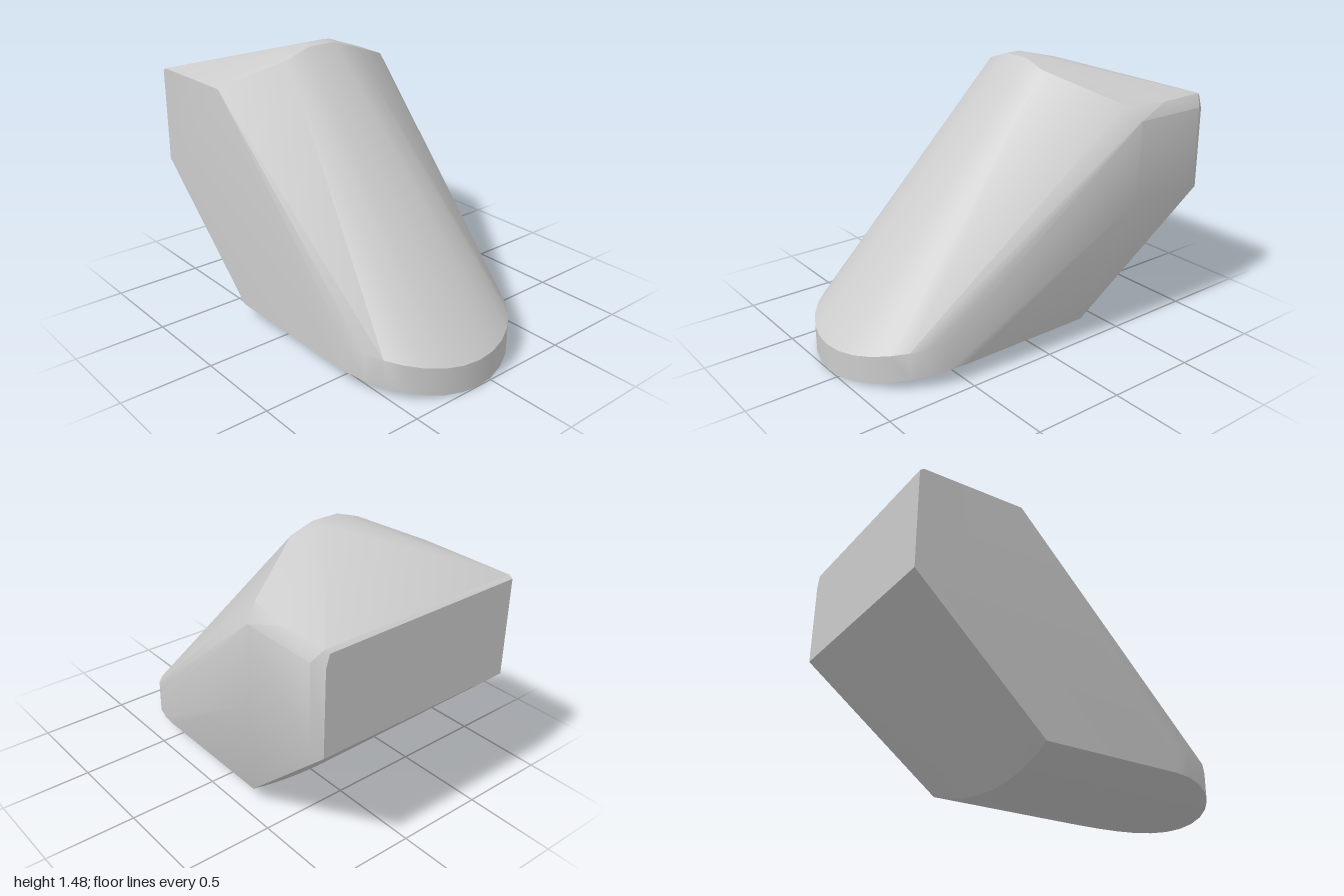
import * as THREE from 'three';
import { ConvexGeometry } from 'three/addons/geometries/ConvexGeometry.js';
import { toCreasedNormals } from 'three/addons/utils/BufferGeometryUtils.js';

const CENTRE = -0.085, HALF = 0.515; // middle and half width of the foot
const sole = (x) => 0.09 * ((x - CENTRE) / HALF) ** 2; // shallow curved underside

export function createModel() {
  const points = [];
  const add = (x, y, z) => points.push(new THREE.Vector3(x, y, z));

  // rounded nose: a half ellipse with a short upright rim
  const steps = 16;
  for (let i = 0; i <= steps; i++) {
    const t = (i / steps) * Math.PI;
    const x = CENTRE + HALF * Math.cos(t), z = 0.5 + 0.5 * Math.sin(t);
    add(x, sole(x), z);
    add(x, sole(x) + 0.15, z);
  }

  // rear edge of the curved underside
  for (let i = 0; i <= 12; i++) {
    const x = CENTRE + HALF * (i / 6 - 1);
    add(x, sole(x), -0.25 - 0.4 * sole(x));
  }

  // crown: front and rear edges of the narrow top
  for (const [x, y] of [[-0.3, 1.435], [-0.16, 1.483], [0, 1.483], [0.135, 1.44]]) {
    add(x, y, -0.23);
    add(x, y, -0.32);
  }

  // flat side at -x
  add(-0.605, 1.29, -0.43);
  add(-0.605, 1.29, -0.98);

  // upright back face
  for (const [x, y] of [[-0.605, 1.275], [-0.605, 0.75], [0.55, 1.27], [0.57, 1.2], [0.57, 0.75]]) add(x, y, -1);

  // bevelled side at +x
  add(0.53, 1.295, -0.46);
  add(0.57, 1.285, -0.7);
  add(0.56, 1.285, -0.98);
  for (const z of [-0.5, -0.94]) {
    add(0.605, 1.22, z);
    add(0.605, 0.79, z);
  }

  const body = new THREE.Mesh(
    toCreasedNormals(new ConvexGeometry(points), 0.6),
    new THREE.MeshStandardMaterial({ color: 0xcccccc })
  );
  body.name = 'slantedBody';

  const group = new THREE.Group();
  group.name = 'slantedBlock';
  group.add(body);
  return group;
}
